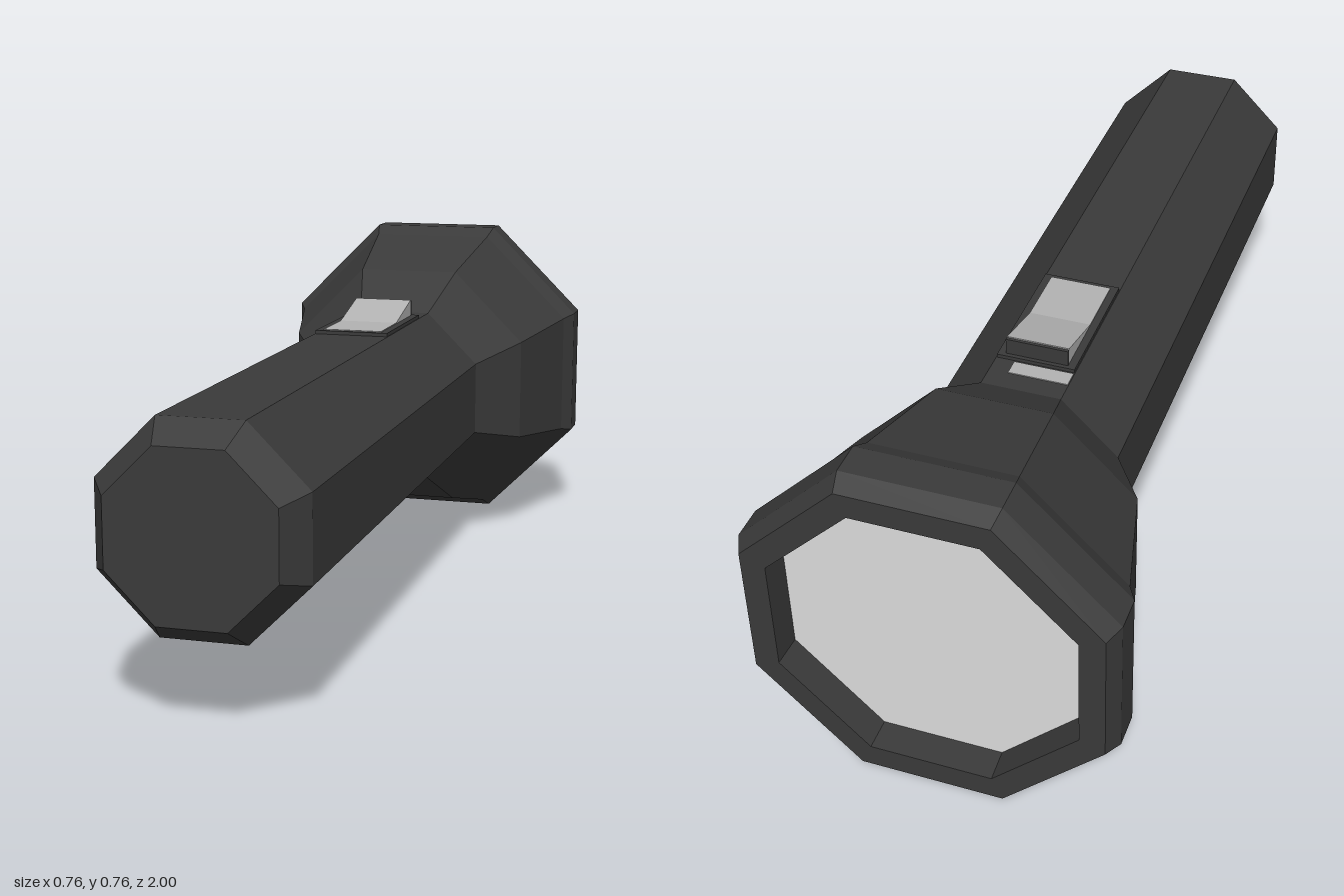
import * as THREE from 'three';

const CENTRE_Y = 0.381;

export function createModel() {
  const model = new THREE.Group();
  model.name = 'flashlight';
  const paint = (name, color) => {
    const material = new THREE.MeshStandardMaterial({ color, flatShading: true });
    material.name = name;
    return material;
  };
  const black = paint('black casing', 0x3a3a3a);
  const grey = paint('switch grey', 0xb2b2b2);
  const pale = paint('pale lens', 0xdcdcdc);

  const add = (name, geometry, material) => {
    const mesh = new THREE.Mesh(geometry, material);
    mesh.name = name;
    model.add(mesh);
    return mesh;
  };
  const box = (name, material, x0, x1, y0, y1, z0, z1) =>
    add(name, new THREE.BoxGeometry(x1 - x0, y1 - y0, z1 - z0), material)
      .position.set((x0 + x1) / 2, (y0 + y1) / 2, (z0 + z1) / 2);

  // Octagonal casing: [distance from axis to flat, z], from lens seat to tail
  const toCorner = 1 / Math.cos(Math.PI / 8);
  const profile = [
    [0.306, -0.935], [0.31, -1], [0.362, -1], [0.381, -0.96], [0.381, -0.89],
    [0.36, -0.85], [0.295, -0.59], [0.209, -0.445], [0.209, 0.935], [0.167, 1], [0, 1],
  ].map(([r, z]) => new THREE.Vector2(r * toCorner, z));
  const casing = new THREE.LatheGeometry(profile, 8, Math.PI / 8);
  casing.rotateX(Math.PI / 2);
  add('casing', casing, black).position.y = CENTRE_Y;

  // Recessed lens facing backwards
  const lens = new THREE.CircleGeometry(0.307 * toCorner, 8, Math.PI / 8);
  lens.rotateY(Math.PI);
  add('lens', lens, pale).position.set(0, CENTRE_Y, -0.935);

  // Switch base and the small plate behind it
  box('switchBase', black, -0.085, 0.085, 0.585, 0.598, -0.355, -0.05);
  box('switchMarker', grey, -0.085, 0.045, 0.585, 0.592, -0.398, -0.36);

  // Rocker: flat half, then a ramp rising towards the head
  const side = new THREE.Shape([
    [0.06, 0.596], [0.34, 0.596], [0.338, 0.636], [0.2, 0.6], [0.06, 0.6],
  ].map(([x, y]) => new THREE.Vector2(x, y)));
  const rocker = new THREE.ExtrudeGeometry(side, { depth: 0.136, bevelEnabled: false });
  rocker.rotateY(Math.PI / 2);
  rocker.translate(-0.068, 0, 0);
  add('switchRocker', rocker, grey);
  box('switchBack', black, -0.068, 0.068, 0.59, 0.634, -0.346, -0.339);

  return model;
}
